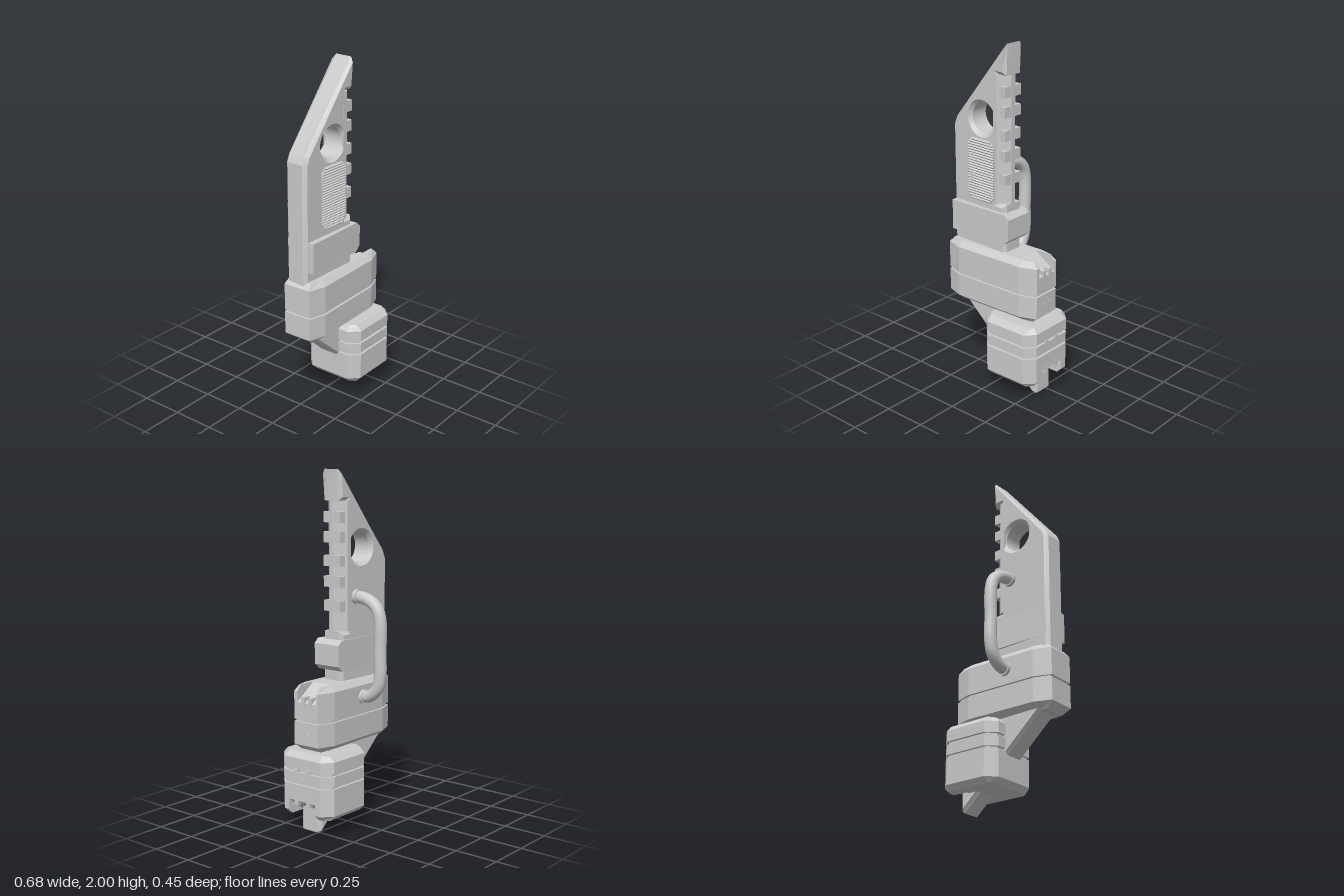
import * as THREE from 'three';
import { toCreasedNormals } from 'three/addons/utils/BufferGeometryUtils.js';

const material = new THREE.MeshStandardMaterial({ color: 0xcccccc });

function add(parent, name, geometry, x = 0, y = 0, z = 0) {
  const mesh = new THREE.Mesh(geometry, material);
  mesh.name = name;
  mesh.position.set(x, y, z);
  parent.add(mesh);
  return mesh;
}

// Box given by its limits on each axis
function box(parent, name, x0, x1, y0, y1, z0, z1) {
  return add(parent, name, new THREE.BoxGeometry(x1 - x0, y1 - y0, z1 - z0),
    (x0 + x1) / 2, (y0 + y1) / 2, (z0 + z1) / 2);
}

const shapeOf = (points) => new THREE.Shape(points.map(([x, y]) => new THREE.Vector2(x, y)));

// Plate between z0 and z1, chamfered inward from its outline
function plate(shape, z0, z1, bevel = 0) {
  const geometry = new THREE.ExtrudeGeometry(shape, {
    depth: z1 - z0 - 2 * bevel, curveSegments: 40, bevelEnabled: bevel > 0,
    bevelSize: bevel, bevelThickness: bevel, bevelOffset: -bevel, bevelSegments: 1,
  });
  geometry.translate(0, 0, z0 + bevel);
  return toCreasedNormals(geometry, 0.4);
}

// Footprint with cut corners, inset by i, with an optional notch in its +x side
function footprint({ x0, x1, zc, zh, cx, cz }, i, notch) {
  const a = zc - zh, b = zc + zh, e = cz + i * 0.4;
  const cut = notch
    ? [[x1 - i, notch.z0], [notch.x, notch.z0], [notch.x, notch.z1], [x1 - i, notch.z1]] : [];
  return [[x1 - i, a + e], ...cut, [x1 - i, b - e], [x1 - cx, b - i], [x0 + cx, b - i],
    [x0 + i, b - e], [x0 + i, a + e], [x0 + cx, a + i], [x1 - cx, a + i]];
}

// Solid through footprints stacked in y; each layer is [y, inset]
function stack(spec, layers, notch) {
  const rings = layers.map(([y, i]) =>
    footprint(spec, i, notch).map(([x, z]) => new THREE.Vector3(x, y, z)));
  const positions = [];
  const tri = (...points) => points.forEach((p) => positions.push(p.x, p.y, p.z));
  const n = rings[0].length;
  for (let k = 0; k < rings.length - 1; k++) {
    const low = rings[k], up = rings[k + 1];
    for (let i = 0; i < n; i++) {
      const j = (i + 1) % n;
      tri(low[i], up[i], low[j]);
      tri(up[i], up[j], low[j]);
    }
  }
  const cap = (ring, flip) => {
    const contour = ring.map((p) => new THREE.Vector2(p.x, p.z));
    for (const [a, b, c] of THREE.ShapeUtils.triangulateShape(contour, [])) {
      if (flip) tri(ring[a], ring[c], ring[b]);
      else tri(ring[a], ring[b], ring[c]);
    }
  };
  cap(rings[0], false);
  cap(rings[rings.length - 1], true);
  const geometry = new THREE.BufferGeometry();
  geometry.setAttribute('position', new THREE.Float32BufferAttribute(positions, 3));
  geometry.computeVertexNormals();
  return geometry;
}

function buildBlade() {
  const blade = new THREE.Group();
  blade.name = 'blade';
  blade.position.z = 0.053;
  blade.rotation.y = -0.04;

  // Slanted plate with a round hole and a slot for the rail
  const outline = shapeOf([[-0.325, 0.7], [0.07, 0.7], [0.07, 1.11], [0.015, 1.11], [0.015, 1.83],
    [0.07, 1.83], [0.07, 2], [-0.305, 1.545], [-0.325, 1.5]]);
  outline.holes.push(new THREE.Path().absarc(-0.1, 1.57, 0.085, 0, Math.PI * 2, true));
  add(blade, 'bladePlate', plate(outline, -0.07, 0.07, 0.02));

  // Rail: tapered strip with studs on both slanted faces
  const rail = plate(shapeOf([[-0.012, -0.0705], [0.015, -0.0705], [0.07, -0.014], [0.07, 0.014],
    [0.015, 0.0705], [-0.012, 0.0705]]), 1.11, 1.83);
  rail.rotateX(-Math.PI / 2);
  add(blade, 'rail', rail);
  for (const y of [1.25, 1.385, 1.5, 1.63, 1.74]) {
    for (const s of [-1, 1]) {
      add(blade, 'railStud', new THREE.BoxGeometry(0.044, 0.06, 0.044), 0.045, y, s * 0.039);
    }
  }

  // Ribbed grip panel on the front face
  const x0 = -0.195, x1 = -0.005, y0 = 1.1, y1 = 1.455, c = 0.03;
  add(blade, 'gripPanel', plate(shapeOf([[x0 + c, y0], [x1 - c, y0], [x1, y0 + c], [x1, y1 - c],
    [x1 - c, y1], [x0 + c, y1], [x0, y1 - c], [x0, y0 + c]]), 0.06, 0.077));
  const ribs = 24;
  for (let i = 0; i < ribs; i++) {
    const y = y0 + (i + 0.5) * (y1 - y0) / ribs;
    const width = x1 - x0 - 2 * Math.max(0, c - Math.min(y - y0, y1 - y));
    add(blade, 'gripRib', new THREE.BoxGeometry(width, 0.0095, 0.0095), (x0 + x1) / 2, y, 0.077)
      .rotation.x = Math.PI / 4;
  }
  return blade;
}

function buildBody() {
  const body = new THREE.Group();
  body.name = 'body';
  body.rotation.y = 0.02;
  const spec = { x0: -0.34, x1: 0.3, zc: 0.05, zh: 0.12, cx: 0.1, cz: 0.035 };
  const notch = { x: 0.165, z0: -0.02, z1: 0.112 };
  add(body, 'bodyMain', stack(spec, [[0.465, 0.045], [0.5, 0], [0.63, 0], [0.63, 0.014],
    [0.643, 0.014], [0.643, 0], [0.74, 0]]));
  add(body, 'bodyTop', stack(spec, [[0.74, 0], [0.8, 0], [0.833, 0.03]], notch));
  // Sloping floor of the recess, with two prongs
  add(body, 'bodyRamp', plate(shapeOf([[0.165, 0.74], [0.3, 0.74], [0.165, 0.832]]),
    notch.z0, notch.z1));
  for (const z of [0.02, 0.07]) {
    box(body, 'bodyProng', 0.255, 0.303, 0.72, 0.772, z - 0.012, z + 0.012);
    box(body, 'bodyNub', 0.27, 0.304, 0.563, 0.578, z - 0.012, z + 0.012);
  }
  return body;
}

function buildLowerBlock() {
  const block = new THREE.Group();
  block.name = 'lowerBlock';
  const spec = { x0: -0.03, x1: 0.34, zc: 0.042, zh: 0.185, cx: 0.055, cz: 0.055 };
  const notch = { x: 0.22, z0: -0.05, z1: 0.14 };
  add(block, 'blockBottom', stack(spec, [[0.1, 0.03], [0.13, 0], [0.19, 0]], notch));
  add(block, 'blockMain', stack(spec, [[0.19, 0], [0.283, 0], [0.283, 0.015], [0.297, 0.015],
    [0.297, 0], [0.355, 0], [0.355, 0.015], [0.372, 0.015], [0.372, 0], [0.435, 0],
    [0.466, 0.03]]));
  // Sloping roof of the recess, with two prongs
  add(block, 'blockRamp', plate(shapeOf([[0.22, 0.1], [0.34, 0.19], [0.22, 0.19]]),
    notch.z0, notch.z1));
  for (const z of [0, 0.085]) {
    box(block, 'blockProng', 0.3, 0.343, 0.165, 0.21, z - 0.013, z + 0.013);
    box(block, 'blockNub', 0.31, 0.344, 0.356, 0.371, z - 0.013, z + 0.013);
  }
  return block;
}

function buildPipe() {
  const pipe = new THREE.Group();
  pipe.name = 'pipe';
  pipe.position.x = -0.055;
  const path = new THREE.CatmullRomCurve3([[1.297, 0.0], [1.295, -0.06], [1.275, -0.125],
    [1.235, -0.17], [1.17, -0.19], [1.0, -0.19], [0.86, -0.19], [0.79, -0.17], [0.745, -0.12],
    [0.73, -0.04]].map(([y, z]) => new THREE.Vector3(0, y, z)));
  add(pipe, 'pipeTube', new THREE.TubeGeometry(path, 60, 0.035, 20));
  // Fittings where the pipe enters the blade and the body
  for (const [y, z] of [[1.297, -0.03], [0.733, -0.075]]) {
    add(pipe, 'pipeFitting', new THREE.CylinderGeometry(0.041, 0.041, 0.022, 24), 0, y, z)
      .rotation.x = Math.PI / 2;
  }
  return pipe;
}

export function createModel() {
  const model = new THREE.Group();
  model.add(buildBlade(), buildBody(), buildLowerBlock(), buildPipe());

  // Collar around the foot of the blade
  add(model, 'collar', plate(shapeOf([[-0.305, 0.89], [0.075, 0.89], [0.11, 0.92], [0.11, 1.04],
    [0.082, 1.065], [-0.305, 1.065]]), -0.028, 0.146));

  // Slanted tail running through the lower block to the tip
  add(model, 'tail', plate(shapeOf([[-0.29, 0.5], [0.262, 0], [0.28, 0.012], [0.28, 0.45],
    [0.2, 0.5]]), -0.032, 0.108, 0.02));
  return model;
}
